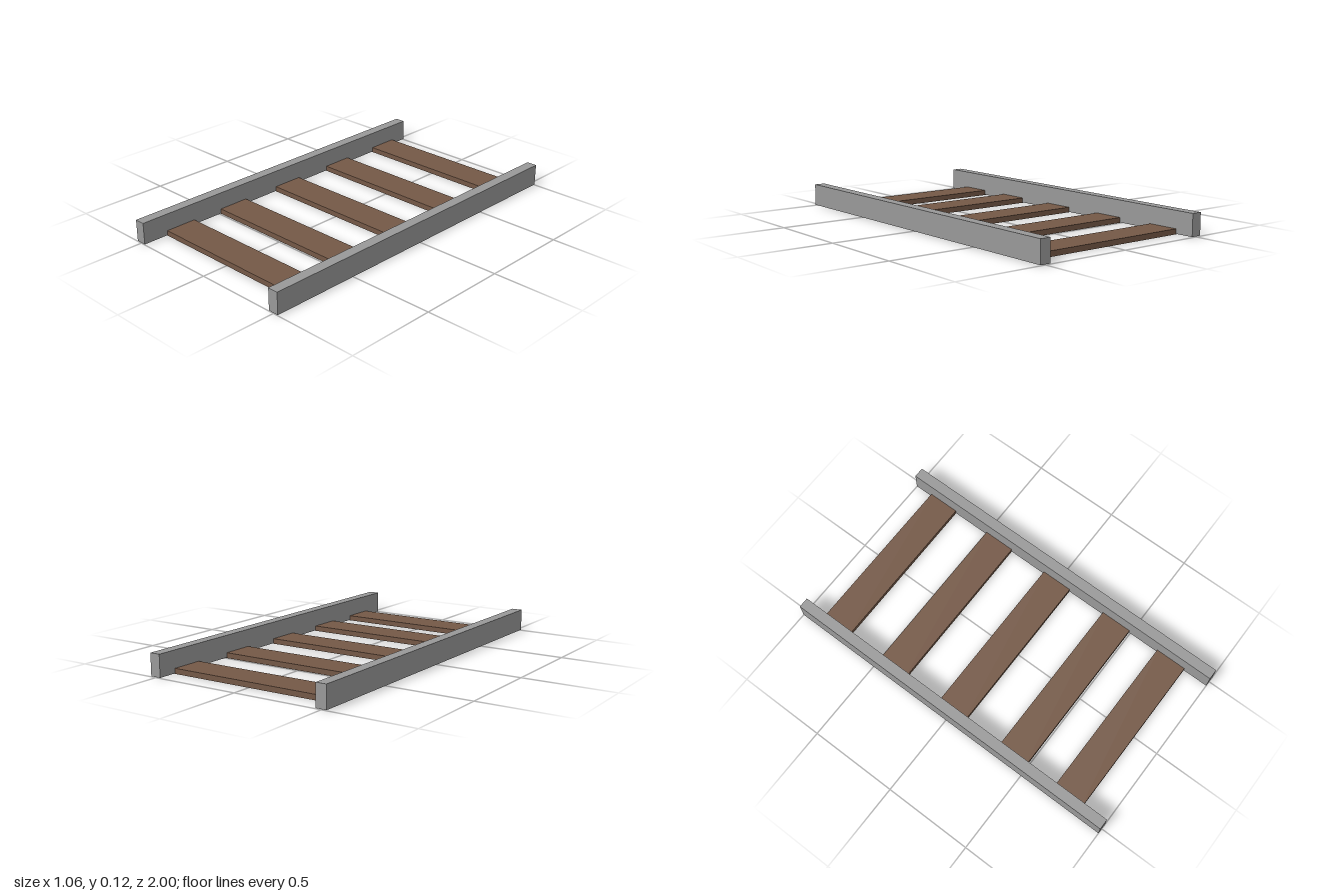
import * as THREE from 'three';

export function createModel() {
  const model = new THREE.Group();
  model.name = 'track';

  const steel = new THREE.MeshStandardMaterial({ color: 0x999999 });
  steel.name = 'grey steel';
  const wood = new THREE.MeshStandardMaterial({ color: 0x745846 });
  wood.name = 'brown wood';

  const addBox = (name, size, position, material) => {
    const mesh = new THREE.Mesh(new THREE.BoxGeometry(...size), material);
    mesh.name = name;
    mesh.position.set(...position);
    model.add(mesh);
  };

  // Two long rails, a hair above the underside of the sleepers
  for (const [name, side] of [['leftRail', 1], ['rightRail', -1]]) {
    addBox(name, [0.059, 0.12, 2], [side * 0.5, 0.063, 0], steel);
  }

  // Cross planks, ending inside the rails; the front one sits slightly closer
  [-0.803, -0.404, -0.001, 0.403, 0.765].forEach((z, i) => {
    addBox(`sleeper${i + 1}`, [1, 0.029, 0.178], [0, 0.0145, z], wood);
  });

  return model;
}
